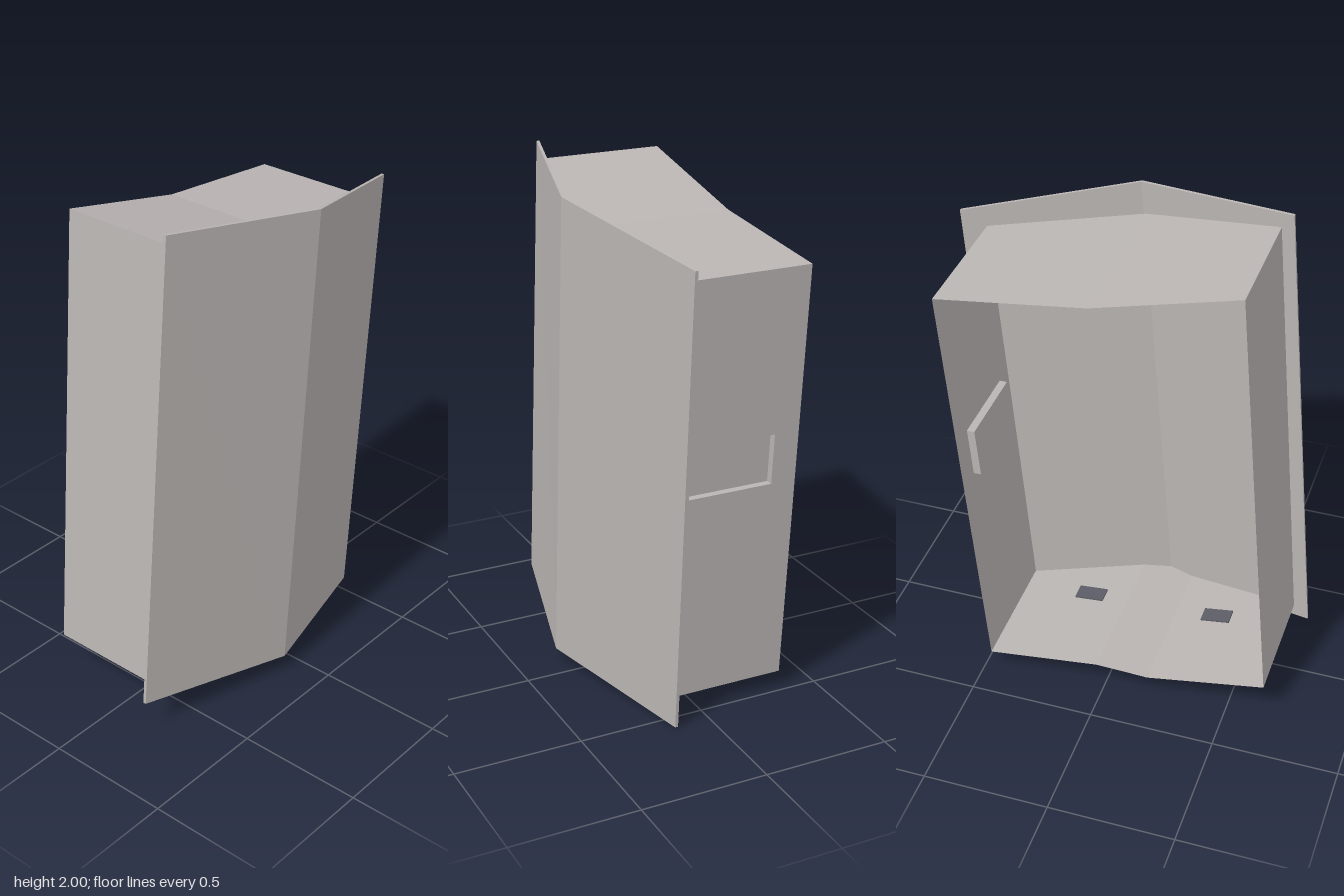
import * as THREE from 'three';

const shell = new THREE.MeshStandardMaterial({ name: 'warmGrey', color: 0xbab5b3, side: THREE.DoubleSide, flatShading: true });
const dark = new THREE.MeshStandardMaterial({ name: 'darkSlate', color: 0x5c5c66, flatShading: true });

// Thin sheet made of quads, each given by four corners
function sheet(name, quads) {
  const pos = [];
  for (const [a, b, c, d] of quads) pos.push(...a, ...b, ...c, ...a, ...c, ...d);
  const geo = new THREE.BufferGeometry();
  geo.setAttribute('position', new THREE.Float32BufferAttribute(pos, 3));
  geo.computeVertexNormals();
  const mesh = new THREE.Mesh(geo, shell);
  mesh.name = name;
  return mesh;
}

// Quads joining two rows of points
const strip = (a, b) => a.slice(1).map((p, i) => [a[i], p, b[i + 1], b[i]]);

// Quads closing the ring between consecutive points of two loops
const ring = (a, b) => strip([...a, a[0]], [...b, b[0]]);

// The right wall leans outward towards the top
const rightX = (y) => 0.615 - 0.0836 * (1.745 - y);

export function createModel() {
  const model = new THREE.Group();
  model.name = 'openBackHousing';

  // Folded front plate with a small thickness, overhanging the box
  const t = 0.012;
  const top = [[-0.55, 2, 0.182], [0.065, 1.937, 0.352], [0.71, 1.81, 0.157]];
  const bottom = [[-0.713, 0.13, 0.18], [-0.083, 0.065, 0.343], [0.568, 0, 0.145]];
  const back = (row) => row.map(([x, y, z]) => [x, y, z - t]);
  const topLoop = [...top, ...back(top).reverse()];
  const bottomLoop = [...bottom, ...back(bottom).reverse()];
  model.add(sheet('frontPlate', [
    ...ring(topLoop, bottomLoop),
    ...strip(top, back(top)),
    ...strip(bottom, back(bottom)),
  ]));

  // Top panel, bent along the middle
  model.add(sheet('topPanel', strip(
    [[-0.505, 1.94, -0.314], [0.045, 1.808, -0.334], [0.615, 1.745, -0.355]],
    [[-0.505, 1.94, 0.18], [0.045, 1.808, 0.338], [0.615, 1.745, 0.172]],
  )));

  // Bottom panel with a shallow wave
  model.add(sheet('bottomPanel', strip(
    [[-0.65, 0.175, -0.314], [-0.18, 0.1, -0.33], [-0.08, 0.107, -0.333], [0.03, 0.113, -0.336], [0.475, 0.07, -0.355]],
    [[-0.65, 0.175, 0.182], [-0.18, 0.1, 0.305], [-0.08, 0.107, 0.33], [0.03, 0.113, 0.298], [0.475, 0.07, 0.162]],
  )));

  // Plain left wall
  model.add(sheet('leftWall', [[
    [-0.505, 1.94, -0.314], [-0.505, 1.94, 0.18], [-0.65, 0.175, 0.182], [-0.65, 0.175, -0.314],
  ]]));

  // Right wall with a rectangular opening, drawn as rings around the pocket
  const rect = (z0, z1, y0, y1, inset = 0) =>
    [[z0, y0], [z1, y0], [z1, y1], [z0, y1]].map(([z, y]) => [rightX(y) - inset, y, z]);
  const outer = rect(-0.355, 0.168, 0.07, 1.745);
  const mouth = rect(-0.255, 0.085, 0.905, 1.105);
  const floor = rect(-0.255, 0.085, 0.905, 1.105, 0.03);
  model.add(sheet('rightWall', ring(outer, mouth)));
  model.add(sheet('handlePocket', [...ring(mouth, floor), floor]));

  // Two small dark pads set through the bottom panel
  for (const [x, y, slope] of [[0.19, 0.098, -0.097], [-0.355, 0.128, -0.16]]) {
    const pad = new THREE.Mesh(new THREE.BoxGeometry(0.12, 0.012, 0.07), dark);
    pad.name = 'bottomPad';
    pad.position.set(x, y, 0.07);
    pad.rotation.z = slope;
    model.add(pad);
  }
  return model;
}
